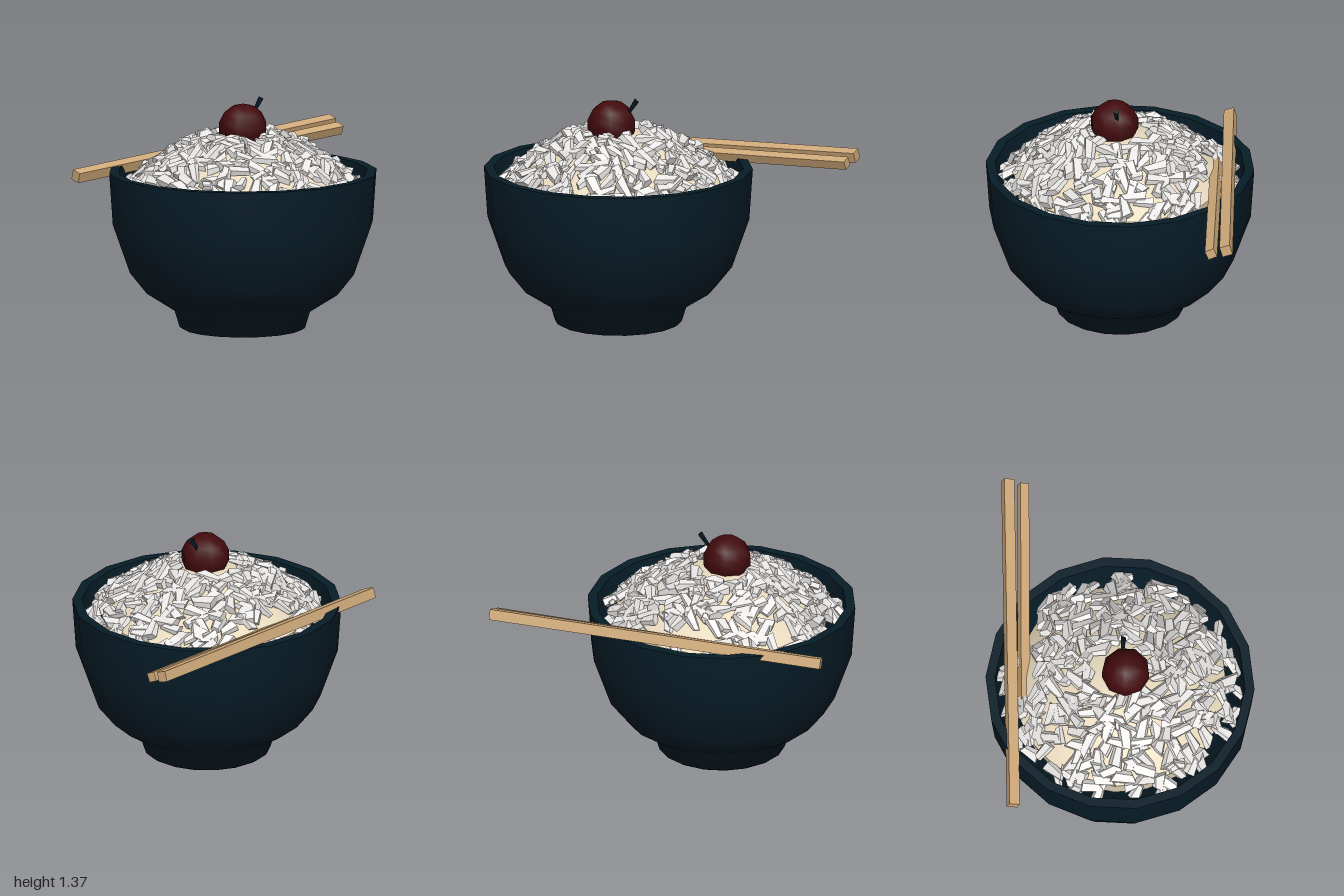
import * as THREE from 'three';
import { mergeGeometries, toCreasedNormals } from 'three/addons/utils/BufferGeometryUtils.js';

const CX = -0.21; // bowl axis

// small seeded random generator
function seeded(s) {
  return () => {
    s = (s * 1664525 + 1013904223) >>> 0;
    return s / 4294967296;
  };
}

const moundHeight = (r) => 1.16 - 0.7 * r * r;

function lathe(points, sides, crease) {
  const geo = new THREE.LatheGeometry(points.map(([r, y]) => new THREE.Vector2(r, y)), sides);
  return toCreasedNormals(geo, crease);
}

// one angular grain: a tapered five-sided chip with slanted ends
function grainGeometry(rnd) {
  const len = 0.085 + rnd() * 0.06;
  const w = 0.034 + rnd() * 0.014;
  const geo = new THREE.CylinderGeometry(w * (0.5 + rnd() * 0.35), w, len, 5, 1);
  const slantA = (rnd() - 0.5) * 1.8, slantB = (rnd() - 0.5) * 1.8;
  const p = geo.attributes.position;
  for (let i = 0; i < p.count; i++) {
    const y = p.getY(i);
    p.setY(i, y + p.getX(i) * (y > 0 ? slantA : slantB));
    p.setZ(i, p.getZ(i) * 0.7);
  }
  return geo;
}

// grains lying along the mound surface, evenly spread by the golden angle
function grainsGeometry(count) {
  const rnd = seeded(7);
  const list = [];
  for (let i = 0; i < count; i++) {
    const r = Math.sqrt(0.03 + 0.45 * (i + rnd()) / count);
    const a = i * 2.39996 + (rnd() - 0.5) * 0.3;
    const pos = new THREE.Vector3(r * Math.sin(a), moundHeight(r) + 0.018, r * Math.cos(a));
    // leave room for the buried chopstick
    if (pos.x > -0.15 && pos.z < -0.52 && pos.z > -0.64) continue;
    const normal = new THREE.Vector3(1.4 * pos.x, 1, 1.4 * pos.z).normalize();
    const q = new THREE.Quaternion().setFromUnitVectors(new THREE.Vector3(0, 1, 0), normal);
    const lie = new THREE.Quaternion().setFromEuler(
      new THREE.Euler(Math.PI / 2 + (rnd() - 0.5) * 0.8, rnd() * Math.PI * 2, (rnd() - 0.5) * 0.8, 'YXZ'));
    const m = new THREE.Matrix4().compose(pos, q.multiply(lie), new THREE.Vector3(1, 1, 1));
    list.push(grainGeometry(rnd).applyMatrix4(m));
  }
  return mergeGeometries(list);
}

// square stick between two points, turned about its own length
function stick(name, material, from, to, size, spin) {
  const a = new THREE.Vector3(...from), b = new THREE.Vector3(...to);
  const geo = new THREE.BoxGeometry(size, size, a.distanceTo(b));
  geo.rotateZ(spin);
  const mesh = new THREE.Mesh(geo, material);
  mesh.name = name;
  mesh.position.copy(a).add(b).multiplyScalar(0.5);
  mesh.lookAt(b);
  return mesh;
}

export function createModel() {
  const mat = (name, color, flatShading = false) => {
    const m = new THREE.MeshStandardMaterial({ color, flatShading });
    m.name = name;
    return m;
  };
  const navy = mat('dark blue glaze', 0x071d28);
  const cream = mat('cream', 0xeadcc0);
  const white = mat('rice white', 0xe8e6e4, true);
  const red = mat('dark red', 0x420a0d);
  const wood = mat('light wood', 0xd0aa7a, true);

  const model = new THREE.Group();
  model.name = 'riceBowl';
  const add = (name, geo, material, x = 0, y = 0, z = 0) => {
    const mesh = new THREE.Mesh(geo, material);
    mesh.name = name;
    mesh.position.set(x, y, z);
    model.add(mesh);
    return mesh;
  };

  // bowl: foot, outer wall, rim, inner wall
  add('bowl', lathe([
    [0, 0], [0.355, 0], [0.375, 0.012], [0.405, 0.11], [0.57, 0.215], [0.67, 0.34], [0.772, 0.63], [0.793, 0.935],
    [0.737, 0.935], [0.72, 0.65], [0.62, 0.4], [0.4, 0.22], [0, 0.18],
  ], 18, 0.9), navy, CX);

  // rice mound core
  const dome = [[0.6, 0.7]];
  for (const r of [0.63, 0.55, 0.45, 0.33, 0.18, 0]) dome.push([r, moundHeight(r)]);
  add('riceMound', lathe(dome, 20, 1), cream, CX);

  // loose grains
  add('riceGrains', grainsGeometry(285), white, CX);

  // cherry and its stem
  const cherry = new THREE.SphereGeometry(0.145, 9, 7);
  add('cherry', cherry, red, -0.235, 1.2, 0.035);
  const stem = add('cherryStem', new THREE.CylinderGeometry(0.02, 0.01, 0.12, 3), navy, -0.113, 1.31, 0.01);
  stem.rotation.z = -0.6;

  // chopsticks resting on the back rim
  model.add(stick('longChopstick', wood, [-0.998, 0.905, -0.59], [0.995, 1.018, -0.722], 0.062, 0.3));
  model.add(stick('buriedChopstick', wood, [-0.34, 0.915, -0.56], [0.985, 0.988, -0.632], 0.055, 0.4));

  return model;
}
